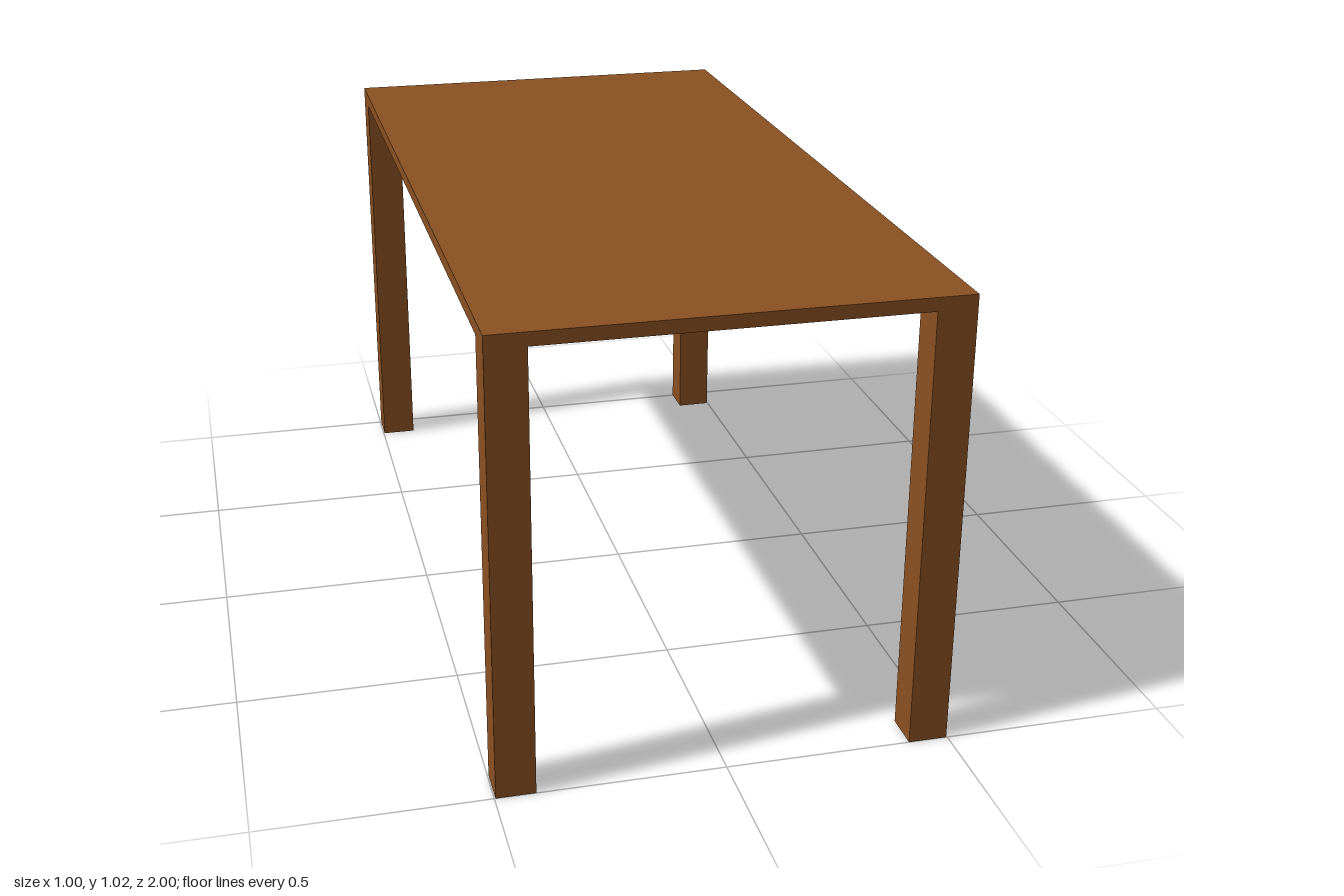
import * as THREE from 'three';

const WIDTH = 0.995, LENGTH = 2, HEIGHT = 1.025;
const TOP = 0.03, LEG = 0.086;

export function createModel() {
  const table = new THREE.Group();
  table.name = 'table';
  const wood = new THREE.MeshStandardMaterial({ color: 0x8b5122 });
  wood.name = 'brown wood';

  const addBox = (name, w, h, d, x, y, z) => {
    const mesh = new THREE.Mesh(new THREE.BoxGeometry(w, h, d), wood);
    mesh.name = name;
    mesh.position.set(x, y, z);
    table.add(mesh);
  };

  // Thin slab top
  addBox('tabletop', WIDTH, TOP, LENGTH, 0, HEIGHT - TOP / 2, 0);

  // Square legs, flush with the corners of the top
  const legHeight = HEIGHT - TOP;
  for (const [side, sx] of [['Left', 1], ['Right', -1]]) {
    for (const [end, sz] of [['front', 1], ['back', -1]]) {
      addBox(`${end}${side}Leg`, LEG, legHeight, LEG,
        sx * (WIDTH - LEG) / 2, legHeight / 2, sz * (LENGTH - LEG) / 2);
    }
  }
  return table;
}
